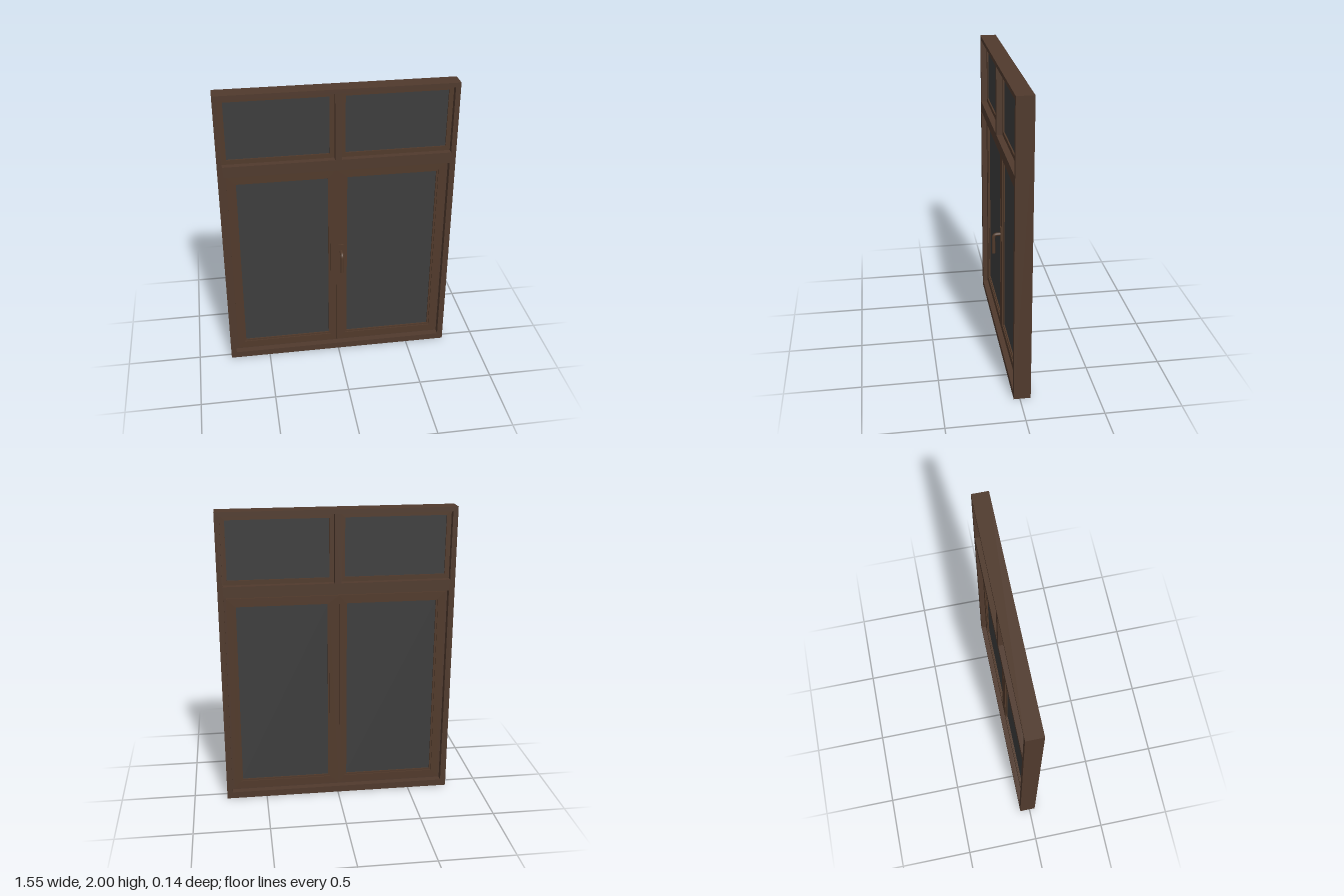
import * as THREE from 'three';

const frameWood = new THREE.MeshStandardMaterial({ color: 0x503a2d });
frameWood.name = 'frame brown';
const sashWood = new THREE.MeshStandardMaterial({ color: 0x513a2b });
sashWood.name = 'sash brown';
const glassGrey = new THREE.MeshStandardMaterial({ color: 0x3d3d3d });
glassGrey.name = 'glass grey';

const MID = -0.015; // depth of the glass plane

function add(parent, name, geometry, material, x = 0, y = 0, z = 0) {
  const mesh = new THREE.Mesh(geometry, material);
  mesh.name = name;
  mesh.position.set(x, y, z);
  parent.add(mesh);
  return mesh;
}

// Rectangles are [x0, y0, x1, y1]
function trace(path, [x0, y0, x1, y1]) {
  path.moveTo(x0, y0);
  path.lineTo(x1, y0);
  path.lineTo(x1, y1);
  path.lineTo(x0, y1);
  path.closePath();
  return path;
}

const inset = ([a, b, c, d], t) => [a + t, b + t, c - t, d - t];

// Rectangular border with openings, between two depths
function border(outer, holes, z0, z1) {
  const shape = trace(new THREE.Shape(), outer);
  for (const h of holes) shape.holes.push(trace(new THREE.Path(), h));
  return new THREE.ExtrudeGeometry(shape, { depth: z1 - z0, bevelEnabled: false }).translate(0, 0, z0);
}

function pane(parent, name, [x0, y0, x1, y1]) {
  add(parent, name, new THREE.BoxGeometry(x1 - x0, y1 - y0, 0.012), glassGrey,
    (x0 + x1) / 2, (y0 + y1) / 2, MID);
}

export function createModel() {
  const model = new THREE.Group();
  model.name = 'window';

  // Outer frame with mullion and transom
  const upper = [[-0.742, 1.521, -0.021, 1.971], [0.021, 1.521, 0.742, 1.971]];
  const lower = [-0.737, 0.045, 0.737, 1.447];
  add(model, 'outerFrame', border([-0.775, 0, 0.775, 2], [...upper, lower], -0.07, 0.04), frameWood);

  // Rebate stop that closes the gap around the sashes
  add(model, 'rebateStop', border(lower, [inset(lower, 0.03)], MID - 0.01, MID + 0.01), frameWood);

  // Fixed upper lights: glazing bead and glass
  upper.forEach((opening, i) => {
    const light = new THREE.Group();
    light.name = i ? 'leftUpperLight' : 'rightUpperLight';
    const glass = inset(opening, 0.03);
    add(light, 'glazingBead', border(opening, [glass], MID - 0.015, MID + 0.015), sashWood);
    pane(light, 'upperGlass', inset(glass, -0.01));
    model.add(light);
  });

  // Lower sashes, meeting slightly right of centre
  const sashes = [
    ['rightSash', [-0.722, 0.058, -0.013, 1.432], [-0.662, 0.122, -0.064, 1.373]],
    ['leftSash', [-0.011, 0.058, 0.722, 1.432], [0.064, 0.122, 0.662, 1.373]],
  ];
  for (const [name, outer, opening] of sashes) {
    const sash = new THREE.Group();
    sash.name = name;
    const reveal = inset(opening, -0.012);
    add(sash, 'sashFrame', border(outer, [reveal], MID - 0.022, MID + 0.022), sashWood);
    add(sash, 'sashBead', border(reveal, [opening], MID - 0.015, MID + 0.015), sashWood);
    pane(sash, 'sashGlass', inset(opening, -0.008));
    model.add(sash);
  }
  add(model, 'meetingStrip', new THREE.BoxGeometry(0.03, 1.37, 0.03), sashWood, -0.012, 0.745, MID);

  // Handle: backplate, neck curving into a hanging lever
  const handle = new THREE.Group();
  handle.name = 'handle';
  handle.position.x = 0.022;
  add(handle, 'backplate', new THREE.BoxGeometry(0.036, 0.1, 0.01), sashWood, 0, 0.815, 0.011);
  const path = new THREE.CurvePath();
  const a = new THREE.Vector3(0, 0.812, 0.006);
  const b = new THREE.Vector3(0, 0.812, 0.036);
  const corner = new THREE.Vector3(0, 0.812, 0.062);
  const c = new THREE.Vector3(0, 0.784, 0.062);
  const d = new THREE.Vector3(0, 0.672, 0.062);
  path.add(new THREE.LineCurve3(a, b));
  path.add(new THREE.QuadraticBezierCurve3(b, corner, c));
  path.add(new THREE.LineCurve3(c, d));
  add(handle, 'lever', new THREE.TubeGeometry(path, 32, 0.012, 12), sashWood);
  const cap = add(handle, 'leverEnd', new THREE.CircleGeometry(0.012, 12), sashWood, 0, 0.672, 0.062);
  cap.rotation.x = Math.PI / 2;
  model.add(handle);

  return model;
}
